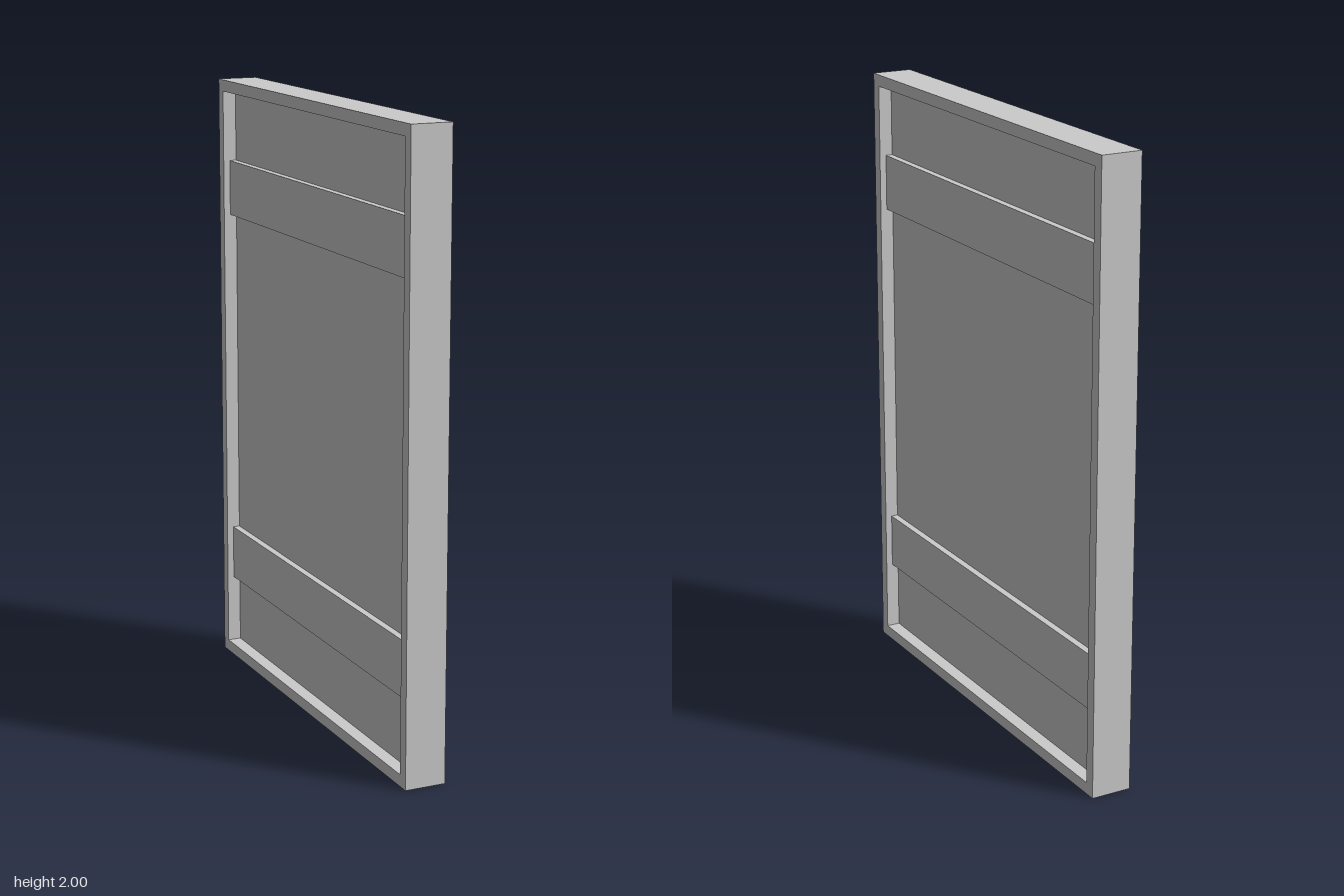
import * as THREE from 'three';

const H = 2, D = 1.426, T = 0.133;          // overall height, depth (z), thickness (x)
const INNER_Z = 0.676, LOW = 0.038, HIGH = 1.962; // frame opening

export function createModel() {
  const model = new THREE.Group();
  model.name = 'framedPanel';
  const material = new THREE.MeshStandardMaterial({ color: 0xcccccc, flatShading: true });

  const add = (name, geometry) => {
    const mesh = new THREE.Mesh(geometry, material);
    mesh.name = name;
    model.add(mesh);
    return mesh;
  };

  // Outer frame: rectangle with a rectangular opening, extruded along x
  const outline = new THREE.Shape([
    new THREE.Vector2(-D / 2, 0), new THREE.Vector2(D / 2, 0),
    new THREE.Vector2(D / 2, H), new THREE.Vector2(-D / 2, H),
  ]);
  outline.holes.push(new THREE.Path([
    new THREE.Vector2(-INNER_Z, LOW), new THREE.Vector2(-INNER_Z, HIGH),
    new THREE.Vector2(INNER_Z, HIGH), new THREE.Vector2(INNER_Z, LOW),
  ]));
  const frame = new THREE.ExtrudeGeometry(outline, { depth: T, bevelEnabled: false });
  frame.translate(0, 0, -T / 2).rotateY(Math.PI / 2);
  add('frame', frame);

  // Thin panel recessed in the frame on both sides
  add('panel', new THREE.BoxGeometry(0.044, HIGH - LOW, INNER_Z * 2)).position.y = H / 2;

  // Cross battens standing proud of the panel on both faces
  for (const [name, y0, y1] of [['lowerBatten', 0.268, 0.45], ['upperBatten', 1.547, 1.73]]) {
    add(name, new THREE.BoxGeometry(0.089, y1 - y0, INNER_Z * 2)).position.y = (y0 + y1) / 2;
  }

  return model;
}
